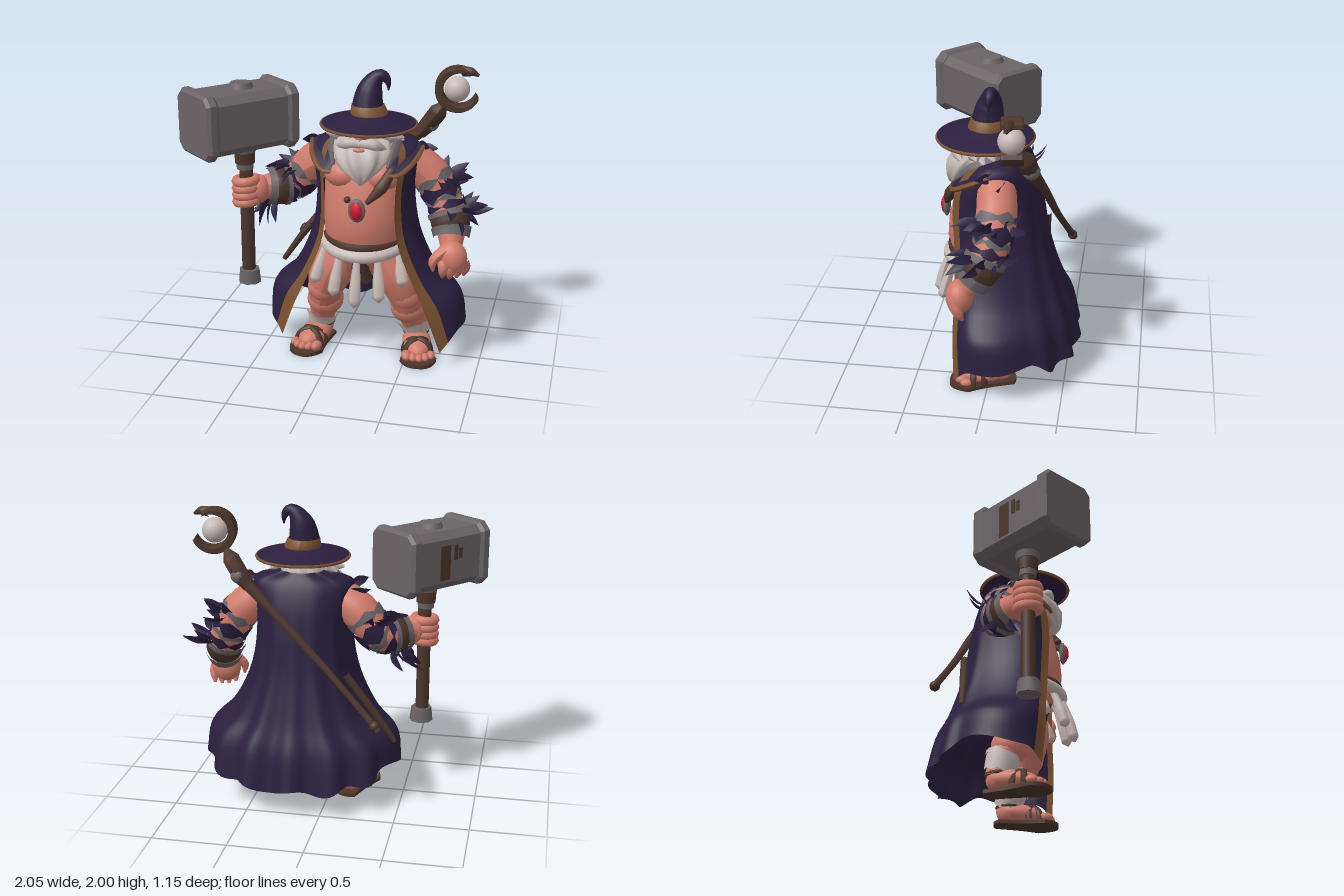
import * as THREE from 'three';
import { ParametricGeometry } from 'three/addons/geometries/ParametricGeometry.js';

const C = 0.2; // x of the body's middle
const V = (p) => new THREE.Vector3(...p);
const spline = (pts) => new THREE.CatmullRomCurve3(pts.map(V));
const mat = (name, color, side = THREE.FrontSide) => {
  const m = new THREE.MeshStandardMaterial({ color, side });
  m.name = name;
  return m;
};

export function createModel() {
  const root = new THREE.Group();
  root.name = 'wizard';
  const skin = mat('skin', 0xd07b6b), cloth = mat('purple cloth', 0x2a1f3e, THREE.DoubleSide);
  const trim = mat('tan trim', 0x7b5130, THREE.DoubleSide), wood = mat('dark wood', 0x4c352b);
  const stone = mat('grey stone', 0x6b6467), white = mat('off white', 0xc8bab6);
  const gem = mat('red gem', 0xd01838), hair = mat('grey hair', 0xbfb4b0);
  const wrap = mat('grey cloth', 0x69646a, THREE.DoubleSide);

  const add = (name, geo, m, pos = [0, 0, 0], rot = [0, 0, 0], parent = root) => {
    const mesh = new THREE.Mesh(geo, m);
    mesh.name = name;
    mesh.position.set(...pos);
    mesh.rotation.set(...rot);
    parent.add(mesh);
    return mesh;
  };
  const ball = (name, m, pos, size) => add(name, new THREE.SphereGeometry(1, 18, 12).scale(...size), m, pos);
  const cyl = (name, m, r1, r2, y0, y1, x, z, seg = 12) =>
    add(name, new THREE.CylinderGeometry(r1, r2, y1 - y0, seg), m, [x, (y0 + y1) / 2, z]);

  // Tube with changing radius; t0..t1 picks a stretch of it, jag makes torn ends
  function limb(name, m, pts, radii, { t0 = 0, t1 = 1, extra = 0, jag = 0, seg = 14, n = 16 } = {}) {
    const curve = spline(pts);
    const part = new THREE.CatmullRomCurve3(
      Array.from({ length: 9 }, (_, i) => curve.getPoint(t0 + (t1 - t0) * i / 8)));
    const geo = new THREE.TubeGeometry(part, n, 1, seg);
    const pos = geo.attributes.position, v = new THREE.Vector3();
    for (let i = 0; i <= n; i++) {
      const c = part.getPointAt(i / n), tan = part.getTangentAt(i / n);
      const f = (t0 + (t1 - t0) * i / n) * (radii.length - 1), k = Math.min(Math.floor(f), radii.length - 2);
      const r = radii[k] + (radii[k + 1] - radii[k]) * (f - k) + extra;
      for (let j = 0; j <= seg; j++) {
        const q = i * (seg + 1) + j;
        v.fromBufferAttribute(pos, q).sub(c).multiplyScalar(r).add(c);
        v.addScaledVector(tan, jag * Math.sin((j % seg) * 2.3 + t0 * 9) * (i / n - 0.5) * 2);
        pos.setXYZ(q, v.x, v.y, v.z);
      }
    }
    geo.computeVertexNormals();
    return add(name, geo, m);
  }

  // Stack of level rings [y, x, z, rx, rz], bottom to top, with optional lengthwise ridges
  function loft(name, m, rings, ridge = 0, seg = 28) {
    const geo = new THREE.LatheGeometry(rings.map((_, i) => new THREE.Vector2(1, i)), seg, Math.PI);
    const pos = geo.attributes.position;
    for (let q = 0; q < pos.count; q++) {
      const [y, cx, cz, rx, rz] = rings[Math.round(pos.getY(q))];
      const x = pos.getX(q), z = pos.getZ(q), k = 1 + ridge * Math.cos(Math.atan2(x, z) * 9 + y * 14);
      pos.setXYZ(q, cx + x * rx * k, y, cz + z * rz * k);
    }
    geo.computeVertexNormals();
    return add(name, geo, m);
  }

  // Torso, belt and hanging strips
  loft('torso', skin, [[0.58, C, 0.02, 0, 0], [0.62, C, 0.02, 0.2, 0.16], [0.8, C, 0.02, 0.26, 0.25],
    [0.94, C, 0.04, 0.28, 0.28], [1.08, C, 0.04, 0.28, 0.27], [1.22, C, 0.02, 0.28, 0.25],
    [1.34, C, 0, 0.28, 0.24], [1.44, C, -0.02, 0.25, 0.2], [1.51, C, -0.03, 0.14, 0.13], [1.56, C, 0, 0, 0]]);
  for (const s of [-1, 1]) ball('chest', skin, [C + s * 0.12, 1.32, 0.14], [0.14, 0.1, 0.12]);
  loft('belt', wood, [[0.83, C, 0.03, 0.27, 0.275], [0.84, C, 0.03, 0.287, 0.29], [0.875, C, 0.03, 0.287, 0.292], [0.885, C, 0.03, 0.27, 0.275]]);
  const sash = Array.from({ length: 13 }, (_, i) => {
    const a = (i / 12 - 0.5) * 4.6;
    return [C + 0.28 * Math.sin(a), 0.85 - 0.05 * Math.cos(a), 0.03 + 0.285 * Math.cos(a)];
  });
  limb('sash', white, sash, [0.035, 0.042, 0.035], { seg: 8, n: 32 });
  [[-0.3, 0.55, 0.16], [-0.15, 0.52, 0.28], [0, 0.47, 0.33], [0.15, 0.5, 0.28], [0.28, 0.58, 0.16]].forEach(([x, y, z]) =>
    limb('clothStrip', white, [[C + x * 0.85, 0.8, z - 0.02], [C + x * 0.95, (y + 0.8) / 2, z + 0.03], [C + x * 1.05, y, z + 0.07]],
      [0.022, 0.024, 0.026, 0.03, 0.034, 0.038, 0.04, 0.04, 0.04, 0.004], { seg: 6, n: 18 }));
  loft('loincloth', wood, [[0.56, C + 0.03, 0.1, 0.05, 0.09], [0.66, C, 0.06, 0.11, 0.16], [0.8, C, 0.03, 0.18, 0.23]]);

  // Legs, wraps and sandals
  for (const s of [-1, 1]) {
    const pts = [[C + s * 0.14, 0.76, 0.03], [C + s * 0.24, 0.58, 0.05], [C + s * 0.285, 0.42, 0.03],
      [C + s * 0.32, 0.25, -0.05], [C + s * 0.35, 0.1, -0.095]];
    const radii = [0.17, 0.165, 0.12, 0.1, 0.075];
    limb('leg', skin, pts, radii);
    ball('knee', skin, [C + s * 0.285, 0.46, 0.07], [0.115, 0.11, 0.1]);
    ball('calf', skin, [C + s * 0.295, 0.34, -0.01], [0.128, 0.12, 0.125]);
    limb('legWrap', white, pts, radii, { t0: 0.76, t1: 0.95, extra: 0.013, jag: 0.012 });
    limb('legWrapEdge', white, pts, radii, { t0: 0.74, t1: 0.79, extra: 0.022, jag: 0.008 });
    const foot = new THREE.Group();
    foot.name = 'foot';
    foot.position.set(C + s * 0.365, 0, 0.03);
    foot.rotation.y = s * 0.25;
    root.add(foot);
    const sole = new THREE.Shape().moveTo(-0.07, -0.19).quadraticCurveTo(0, -0.24, 0.07, -0.19)
      .quadraticCurveTo(0.08, 0, 0.125, 0.12).quadraticCurveTo(0.08, 0.25, 0, 0.235)
      .quadraticCurveTo(-0.1, 0.23, -0.125, 0.12).quadraticCurveTo(-0.08, 0, -0.07, -0.19);
    add('sole', new THREE.ExtrudeGeometry(sole, { depth: 0.025, bevelEnabled: false }).rotateX(Math.PI / 2), wood, [0, 0.025, 0], [0, 0, 0], foot);
    add('footTop', new THREE.SphereGeometry(1, 18, 12).scale(0.1, 0.068, 0.18), skin, [0, 0.085, -0.02], [0.1, 0, 0], foot);
    add('heel', new THREE.SphereGeometry(0.08, 14, 10), skin, [0, 0.095, -0.115], [0, 0, 0], foot);
    for (let i = 0; i < 5; i++) {
      const k = i - 2, big = i === (s > 0 ? 0 : 4) ? 1.25 : 1;
      add('toe', new THREE.SphereGeometry(0.027 * big, 10, 8).scale(1, 1, 1.6), skin, [k * 0.042, 0.052, 0.17 - k * k * 0.01], [0, 0, 0], foot);
    }
    for (const t of [-0.4, 0.4])
      add('sandalStrap', new THREE.TorusGeometry(0.1, 0.015, 6, 16, Math.PI).scale(1.05, 1.1, 1.6), wood, [0, 0.03, 0.05], [0, t, 0], foot);
    add('ankleStrap', new THREE.TorusGeometry(0.082, 0.012, 6, 18).rotateX(Math.PI / 2), wood, [0, 0.13, -0.11], [0, 0, 0], foot);
  }

  // Cape: rows [y, front half width, side half width, front z, side z, back z, hem lift]
  const rows = [[1.58, 0.12, 0.14, -0.02, -0.08, -0.17, 0], [1.51, 0.22, 0.33, 0.12, -0.04, -0.22, 0],
    [1.38, 0.245, 0.34, 0.22, 0, -0.27, 0], [1.2, 0.235, 0.32, 0.25, 0, -0.31, 0], [0.9, 0.25, 0.36, 0.24, 0, -0.36, 0],
    [0.6, 0.36, 0.49, 0.23, 0, -0.44, 0.02], [0.4, 0.45, 0.64, 0.23, -0.02, -0.51, 0.06], [0.13, 0.55, 0.675, 0.21, -0.04, -0.56, 0.13]];
  const columns = Array.from({ length: 11 }, (_, c) => spline(rows.map(([y, e, w, zf, zm, zb, lift]) => {
    const k = Math.abs(c - 5), s = Math.sign(c - 5);
    const x = [0, 0.36 * w, 0.67 * w, w * 0.89, w, e][k], z = [zb, zb * 0.97, zb * 0.8, (zb + zm) / 2, zm * 0.6 + zf * 0.4, zf][k];
    return [C + s * x, y + lift * [0.35, 0.4, 0.6, 1.1, 0.9, 0][k], z];
  })));
  const rowCache = new Map();
  const capePoint = (u, v, target) => {
    if (!rowCache.has(v)) rowCache.set(v, new THREE.CatmullRomCurve3(columns.map((c) => c.getPoint(v))));
    target.copy(rowCache.get(v).getPoint(u));
    const fold = 1 + 0.05 * v * v * Math.sin(u * Math.PI * 17) * Math.sin(u * Math.PI);
    target.x = C + (target.x - C) * fold;
    target.z *= fold;
    target.y += 0.02 * v ** 6 * Math.sin(u * 42);
  };
  const capeStrip = (name, m, u0, u1, slices) =>
    add(name, new ParametricGeometry((u, v, t) => capePoint(u0 + (u1 - u0) * u, v, t), slices, 30), m);
  capeStrip('cape', cloth, 0.033, 0.967, 90);
  capeStrip('capeTrimRight', trim, 0, 0.033, 2);
  capeStrip('capeTrimLeft', trim, 0.967, 1, 2);
  // Collar flaps with trimmed edge, and grey scarf inside
  for (const s of [-1, 1]) {
    const edge = [[C + s * 0.38, 1.51, 0], [C + s * 0.34, 1.43, 0.14], [C + s * 0.25, 1.36, 0.25], [C + s * 0.19, 1.36, 0.265]];
    const outer = spline(edge);
    const inner = spline([[C + s * 0.22, 1.55, -0.05], [C + s * 0.22, 1.52, 0.06], [C + s * 0.2, 1.47, 0.16], [C + s * 0.175, 1.42, 0.22]]);
    add('collarFlap', new ParametricGeometry((u, v, t) => t.copy(inner.getPoint(u)).lerp(outer.getPoint(u), v), 12, 3), cloth);
    limb('collarTrim', trim, edge, [0.012, 0.018, 0.018, 0.012], { seg: 6 });
    limb('scarf', wrap, [[C + s * 0.1, 1.53, -0.12], [C + s * 0.19, 1.53, 0], [C + s * 0.2, 1.48, 0.13], [C + s * 0.18, 1.4, 0.235]],
      [0.03, 0.05, 0.045, 0.01], { seg: 7 });
  }

  // Arms with torn sleeves, bracers and feathers
  const armR = [[-0.06, 1.39, -0.02], [-0.2, 1.3, -0.06], [-0.32, 1.16, -0.06], [-0.43, 1.15, 0.02], [-0.53, 1.16, 0.09]];
  const armL = [[0.48, 1.39, -0.04], [0.61, 1.29, -0.06], [0.71, 1.13, -0.04], [0.77, 0.98, 0.02], [0.79, 0.84, 0.11]];
  const radii = [0.125, 0.13, 0.115, 0.11, 0.07];
  const feather = (x, y, z, dx, dy, dz, len) => {
    const geo = new THREE.PlaneGeometry(1, len, 2, 6).translate(0, len / 2, 0), p = geo.attributes.position;
    for (let i = 0; i < p.count; i++) {
      const t = p.getY(i) / len;
      p.setX(i, p.getX(i) * 0.065 * Math.sin(Math.PI * Math.min(0.12 + t * 0.88, 1)));
      p.setZ(i, 0.06 * t * t - Math.abs(p.getX(i)) * 0.4);
    }
    geo.computeVertexNormals();
    add('feather', geo, cloth, [x, y, z]).quaternion.setFromUnitVectors(V([0, 1, 0]), V([dx, dy, dz]).normalize());
  };
  [[armR, -1], [armL, 1]].forEach(([pts, s]) => {
    const a = (name, m, t0, t1, extra, jag = 0) => limb(name, m, pts, radii, { t0, t1, extra, jag, n: 8 });
    limb('arm', skin, pts, radii);
    a('sleeveRing', wrap, 0.28, 0.34, 0.008, 0.02);
    a('tornSleeve', cloth, 0.38, 0.48, 0.014, 0.03);
    a('tornSleeveEdge', wrap, 0.46, 0.53, 0.009, 0.02);
    a('lowerSleeve', cloth, 0.55, 0.62, 0.016, 0.02);
    a('bracerTop', stone, 0.62, 0.68, 0.028);
    a('bracer', wood, 0.66, 0.82, 0.02);
    a('bracerCuff', stone, 0.8, 0.9, 0.033);
    const curve = spline(pts);
    for (let i = 0; i < 16; i++) {
      const low = i % 2, c = curve.getPoint(low ? 0.64 : 0.32), b = (i / 15 - 0.5) * 2.6;
      const out = [s * Math.cos(b), s > 0 ? 0.15 + 0.25 * Math.cos(i * 1.7) : low ? -1.2 : 0.1, Math.sin(b)];
      feather(c.x + out[0] * 0.1, c.y + out[1] * 0.07, c.z + out[2] * 0.1, ...out, 0.12 + 0.03 * (i % 3) + 0.02 * low);
    }
    feather(C + s * 0.33, 1.49, 0, s, 0.3, 0.2, 0.11);
    feather(C + s * 0.33, 1.46, -0.08, s, -0.1, -0.3, 0.12);
  });

  // Open left hand
  ball('leftPalm', skin, [0.8, 0.79, 0.15], [0.105, 0.115, 0.088]);
  for (let i = 0; i < 4; i++) {
    const x = 0.745 + i * 0.045, d = Math.abs(i - 1.2) * 0.012;
    limb('leftFinger', skin, [[x, 0.79, 0.18], [x + 0.012, 0.72 + d, 0.215 - i * 0.02], [x, 0.64 + d, 0.18 - i * 0.02]], [0.038, 0.036, 0.03, 0.01], { seg: 8 });
  }
  limb('leftThumb', skin, [[0.76, 0.85, 0.18], [0.69, 0.78, 0.22], [0.69, 0.71, 0.22]], [0.042, 0.038, 0.03, 0.008], { seg: 8 });
  // Right fist round the hammer
  ball('rightPalm', skin, [-0.53, 1.15, 0.11], [0.085, 0.1, 0.085]);
  for (let i = 0; i < 4; i++)
    add('rightFinger', new THREE.TorusGeometry(0.066, 0.034, 8, 18).rotateX(Math.PI / 2), skin, [-0.6, 1.075 + i * 0.048, 0.15], [0, 0, 0.08]);

  // Hammer
  const hammer = new THREE.Group();
  hammer.name = 'hammer';
  hammer.position.set(-0.627, 1.66, 0.175);
  hammer.rotation.y = -0.73;
  root.add(hammer);
  const block = (name, w, h, d, cut, along) => {
    const a = w / 2, b = h / 2, shape = new THREE.Shape([[-a + cut, -b], [a - cut, -b], [a, -b + cut], [a, b - cut],
      [a - cut, b], [-a + cut, b], [-a, b - cut], [-a, -b + cut]].map(([x, y]) => new THREE.Vector2(x, y)));
    const geo = new THREE.ExtrudeGeometry(shape, { depth: d - 0.04, bevelThickness: 0.02, bevelSize: 0.02, bevelOffset: -0.02, bevelSegments: 1 });
    add(name, geo.translate(0, 0, along - d / 2 + 0.02), stone, [0, 0, 0], [0, 0, 0], hammer);
  };
  block('hammerHead', 0.39, 0.39, 0.6, 0.05, 0);
  for (const s of [-1, 1]) block('hammerFace', 0.43, 0.43, 0.085, 0.055, s * 0.3);
  for (const [w, h, y, z] of [[0.085, 0.23, -0.01, -0.05], [0.03, 0.1, 0.05, 0.04], [0.03, 0.07, 0.04, 0.08]])
    add('hammerChip', new THREE.BoxGeometry(0.008, h, w), wood, [-0.196, y, z], [0, 0, 0], hammer);
  cyl('hammerBoss', stone, 0.07, 0.09, 1.84, 1.89, -0.62, 0.145, 10);
  cyl('handle', wood, 0.046, 0.046, 0.52, 1.5, -0.598, 0.15, 10);
  cyl('pommel', stone, 0.07, 0.08, 0.485, 0.58, -0.593, 0.15, 8);
  cyl('collarTop', stone, 0.085, 0.075, 1.42, 1.48, -0.605, 0.15, 10);
  cyl('collarMiddle', wood, 0.07, 0.065, 1.34, 1.42, -0.605, 0.15, 10);
  cyl('collarLow', stone, 0.058, 0.055, 1.3, 1.34, -0.605, 0.15, 10);

  // Staff, orb and short rod on the back
  limb('staff', wood, [[-0.39, 0.64, -0.48], [-0.05, 0.98, -0.39], [0.3, 1.32, -0.33], [0.56, 1.56, -0.27]],
    [0.024, 0.022, 0.026, 0.03, 0.045], { seg: 8 });
  ball('staffEnd', wood, [-0.36, 0.67, -0.47], [0.034, 0.034, 0.034]);
  ball('staffKnot', stone, [0.575, 1.575, -0.27], [0.056, 0.056, 0.056]);
  limb('staffNeck', wood, [[0.5, 1.5, -0.28], [0.58, 1.6, -0.26], [0.67, 1.73, -0.22]], [0.045, 0.055, 0.06, 0.06, 0.02], { seg: 8 });
  const hook = new THREE.Shape().absarc(0, 0, 0.142, 1.1, 5.85, false).absarc(0.014, 0.005, 0.116, 5.85, 1.1, true);
  add('staffHook', new THREE.ExtrudeGeometry(hook, { depth: 0.11, bevelThickness: 0.012, bevelSize: 0.006, bevelSegments: 1, curveSegments: 20 })
    .translate(0, 0, -0.055), wood, [0.76, 1.845, -0.175], [0, 0.15, 0]);
  limb('hookTip', wood, [[0.79, 1.965, -0.17], [0.85, 1.965, -0.16], [0.9, 1.945, -0.15]], [0.035, 0.03, 0.008], { seg: 6 });
  ball('orb', white, [0.757, 1.845, -0.17], [0.084, 0.084, 0.084]);
  limb('shortRod', wood, [[-0.47, 0.49, -0.28], [-0.34, 0.68, -0.29], [-0.14, 0.95, -0.31]], [0.018, 0.026, 0.026], { seg: 8 });

  // Head, beard and hair
  ball('head', skin, [C, 1.58, 0.08], [0.13, 0.15, 0.13]);
  ball('nose', skin, [C, 1.595, 0.215], [0.04, 0.035, 0.04]);
  loft('beard', hair, [[1.28, C + 0.01, 0.27, 0.005, 0.005], [1.33, C + 0.01, 0.265, 0.06, 0.05], [1.38, C, 0.23, 0.125, 0.095],
    [1.44, C, 0.19, 0.175, 0.135], [1.5, C, 0.15, 0.195, 0.14], [1.55, C, 0.11, 0.185, 0.12], [1.6, C, 0.07, 0.15, 0.1]], 0.07, 54);
  ball('lip', skin, [C, 1.52, 0.275], [0.038, 0.014, 0.02]);
  loft('backHair', hair, [[1.47, C, -0.06, 0.1, 0.07], [1.52, C, -0.02, 0.17, 0.13], [1.6, C, 0.01, 0.16, 0.14], [1.67, C, 0.03, 0.13, 0.12]], 0.05, 54);
  for (const s of [-1, 1]) {
    limb('moustache', hair, [[C, 1.555, 0.25], [C + s * 0.09, 1.55, 0.24], [C + s * 0.17, 1.51, 0.19]], [0.025, 0.038, 0.008], { seg: 8 });
    [[1.6, 0.09, 0.26, 1.57], [1.56, 0.04, 0.25, 1.54], [1.6, -0.02, 0.23, 1.56]].forEach(([y, z, w, y2]) =>
      limb('sideHair', hair, [[C + s * 0.1, y, z + 0.03], [C + s * 0.18, y - 0.02, z + 0.02], [C + s * w, y2, z]], [0.055, 0.052, 0.006], { seg: 8 }));
  }

  // Hat
  const hx = 0.22, hz = 0.065;
  loft('hatBrim', cloth, [[1.635, hx, hz, 0.1, 0.1], [1.64, hx, hz, 0.31, 0.315], [1.652, hx, hz, 0.31, 0.315],
    [1.675, hx, hz, 0.2, 0.205], [1.71, hx, hz, 0.115, 0.12]], 0, 36);
  add('brimTrim', new THREE.TorusGeometry(0.311, 0.011, 6, 40).rotateX(Math.PI / 2), trim, [hx, 1.643, hz]);
  loft('hatBand', trim, [[1.7, hx, hz - 0.01, 0.12, 0.12], [1.715, hx, hz - 0.01, 0.124, 0.124], [1.765, hx - 0.01, hz - 0.015, 0.108, 0.108], [1.77, hx - 0.01, hz - 0.015, 0.09, 0.09]]);
  limb('hatCone', cloth, [[0.21, 1.7, 0.055], [0.21, 1.8, 0.045], [0.235, 1.9, 0.03], [0.285, 1.955, 0.025], [0.33, 1.93, 0.025], [0.34, 1.86, 0.03]],
    [0.115, 0.1, 0.085, 0.055, 0.03, 0.004], { seg: 16, n: 24 });

  // Pendant and strap
  limb('strap', wood, [[0.41, 1.39, 0.22], [0.35, 1.28, 0.28], [0.26, 1.18, 0.32]], [0.03, 0.042, 0.015], { seg: 7 });
  ball('bead', wood, [0.13, 1.19, 0.3], [0.022, 0.022, 0.022]);
  ball('pendantRim', stone, [C, 1.13, 0.33], [0.058, 0.08, 0.024]);
  add('pendantGem', new THREE.SphereGeometry(1, 8, 6).scale(0.044, 0.064, 0.032), gem, [C, 1.13, 0.34]);
  return root;
}
